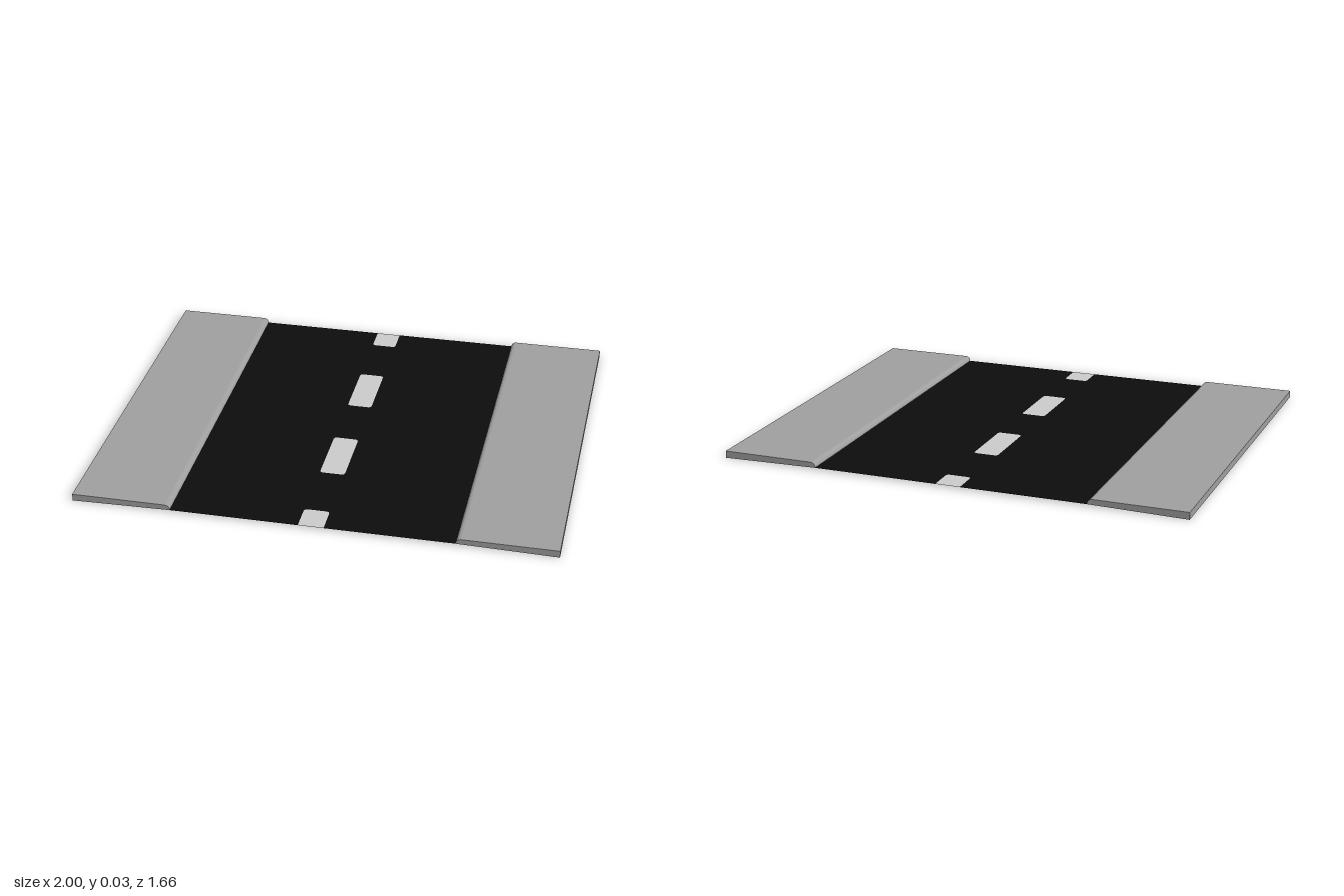
import * as THREE from 'three';

const HALF_LENGTH = 0.832;
const CURB_X = 0.587;
const ROAD_Y = 0.008;
const DASH_X = 0.053;
const CORNER = 0.012;

const points = (list) => list.map(([x, y]) => new THREE.Vector2(x, y));

// Full dash with softened corners, from a to b along the road
function dashOutline(a, b) {
  const w = DASH_X, c = CORNER, k = c * 0.3;
  return points([
    [-w + c, a], [w - c, a], [w - k, a + k], [w, a + c],
    [w, b - c], [w - k, b - k], [w - c, b], [-w + c, b],
    [-w + k, b - k], [-w, b - c], [-w, a + c], [-w + k, a + k],
  ]);
}

// Half dash cut off by the end of the road; s is the end (+1 or -1)
function endDashOutline(s) {
  const w = DASH_X, c = CORNER, k = c * 0.3, a = 0.712, e = HALF_LENGTH;
  return points([
    [-w, e], [-w, a + c], [-w + k, a + k], [-w + c, a],
    [w - c, a], [w - k, a + k], [w, a + c], [w, e],
  ].map(([x, y]) => [x * s, y * s]));
}

export function createModel() {
  const model = new THREE.Group();
  const asphalt = new THREE.MeshStandardMaterial({ color: 0x0d0d0d, side: THREE.DoubleSide });
  const paint = new THREE.MeshStandardMaterial({ color: 0xcbcbcb, side: THREE.DoubleSide });
  const concrete = new THREE.MeshStandardMaterial({ color: 0x9f9f9f });
  asphalt.name = 'asphalt';
  paint.name = 'linePaint';
  concrete.name = 'concrete';

  const add = (name, geometry, material) => {
    const mesh = new THREE.Mesh(geometry, material);
    mesh.name = name;
    model.add(mesh);
    return mesh;
  };
  const flat = (shape) => new THREE.ShapeGeometry(shape).rotateX(-Math.PI / 2).translate(0, ROAD_Y, 0);

  // Road sheet, with openings that the centre line dashes fill
  const dashes = [dashOutline(0.14, 0.427), dashOutline(-0.427, -0.14)];
  const ends = [endDashOutline(1), endDashOutline(-1)];
  const road = new THREE.Shape([
    ...points([[CURB_X, -HALF_LENGTH], [CURB_X, HALF_LENGTH]]),
    ...[...ends[0]].reverse(),
    ...points([[-CURB_X, HALF_LENGTH], [-CURB_X, -HALF_LENGTH]]),
    ...[...ends[1]].reverse(),
  ]);
  road.holes = dashes.map((outline) => new THREE.Path(outline));
  add('road', flat(road), asphalt);

  // Centre line
  [...dashes, ...ends].forEach((outline, i) =>
    add(`centreDash${i + 1}`, flat(new THREE.Shape(outline)), paint));

  // Pavements: slab section with a rounded curb, run along the road
  for (const [name, s] of [['leftPavement', 1], ['rightPavement', -1]]) {
    const section = new THREE.Shape(points([
      [1, 0], [1, 0.03], [0.607, 0.03], [0.598, 0.028],
      [0.591, 0.022], [CURB_X, 0.014], [CURB_X, ROAD_Y],
    ].map(([x, y]) => [x * s, y])));
    const slab = new THREE.ExtrudeGeometry(section, { depth: HALF_LENGTH * 2, bevelEnabled: false });
    slab.translate(0, 0, -HALF_LENGTH);
    add(name, slab, concrete);
  }
  return model;
}
